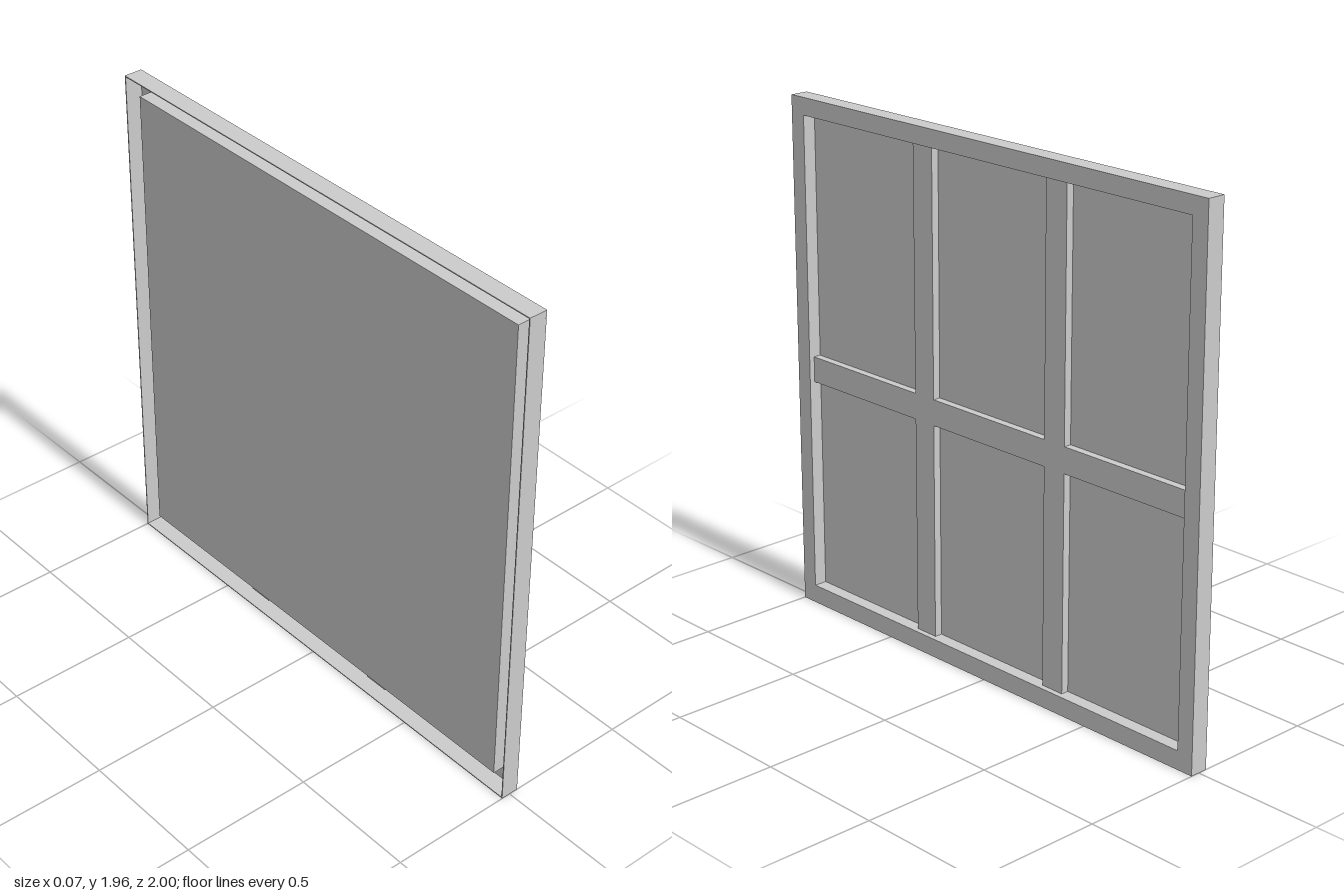
import * as THREE from 'three';

const H = 1.955, MID = 0.98;      // overall height, centre of the opening
const T = 0.004;                  // sheet thickness
const FRONT = 0.035, BACK = -0.035;

export function createModel() {
  const group = new THREE.Group();
  const mat = new THREE.MeshStandardMaterial({ color: 0xcccccc, flatShading: true, side: THREE.DoubleSide });

  const add = (name, geo) => {
    const mesh = new THREE.Mesh(geo, mat);
    mesh.name = name;
    group.add(mesh);
    return mesh;
  };

  // box given by its limits on each axis
  const box = (name, x0, x1, y0, y1, z0, z1) =>
    add(name, new THREE.BoxGeometry(x1 - x0, y1 - y0, z1 - z0))
      .position.set((x0 + x1) / 2, (y0 + y1) / 2, (z0 + z1) / 2);

  const rect = (Type, w, y0, y1) => {
    const p = new Type();
    p.moveTo(-w, y0);
    p.lineTo(w, y0);
    p.lineTo(w, y1);
    p.lineTo(-w, y1);
    p.closePath();
    return p;
  };

  // rectangular ring in the z-y plane, running from x0 to x1
  const ring = (name, x0, x1, outer, inner) => {
    const shape = rect(THREE.Shape, ...outer);
    shape.holes.push(rect(THREE.Path, ...inner));
    const geo = new THREE.ExtrudeGeometry(shape, { depth: x1 - x0, bevelEnabled: false });
    geo.rotateY(Math.PI / 2).translate(x0, 0, 0);
    add(name, geo);
  };

  // frame: a folded channel, open towards the back
  const edge = [1, 0, H];
  const opening = [0.935, 0.07, 1.89];
  const grow = ([w, y0, y1], d) => [w + d, y0 - d, y1 + d];
  ring('frameFace', FRONT - T, FRONT, edge, opening);
  ring('frameOuterWall', BACK, FRONT - T, edge, grow(edge, -T));
  ring('frameInnerWall', -0.02, FRONT - T, grow(opening, T), opening);

  // sheet closing the opening
  box('panel', -0.02, -0.015, 0.07, 1.89, -0.935, 0.935);

  // bars on the panel; the uprights reach a little below it
  for (const s of [-1, 1]) {
    const z = s * 0.325;
    box('verticalBar', -0.015, 0.014, 0.055, 1.888, z - 0.048, z + 0.048);
  }
  // cross bar, in three lengths between the uprights
  for (const [z0, z1] of [[-0.935, -0.373], [-0.277, 0.277], [0.373, 0.935]])
    box('crossBar', -0.015, 0.014, 0.883, MID, z0, z1);

  return group;
}
